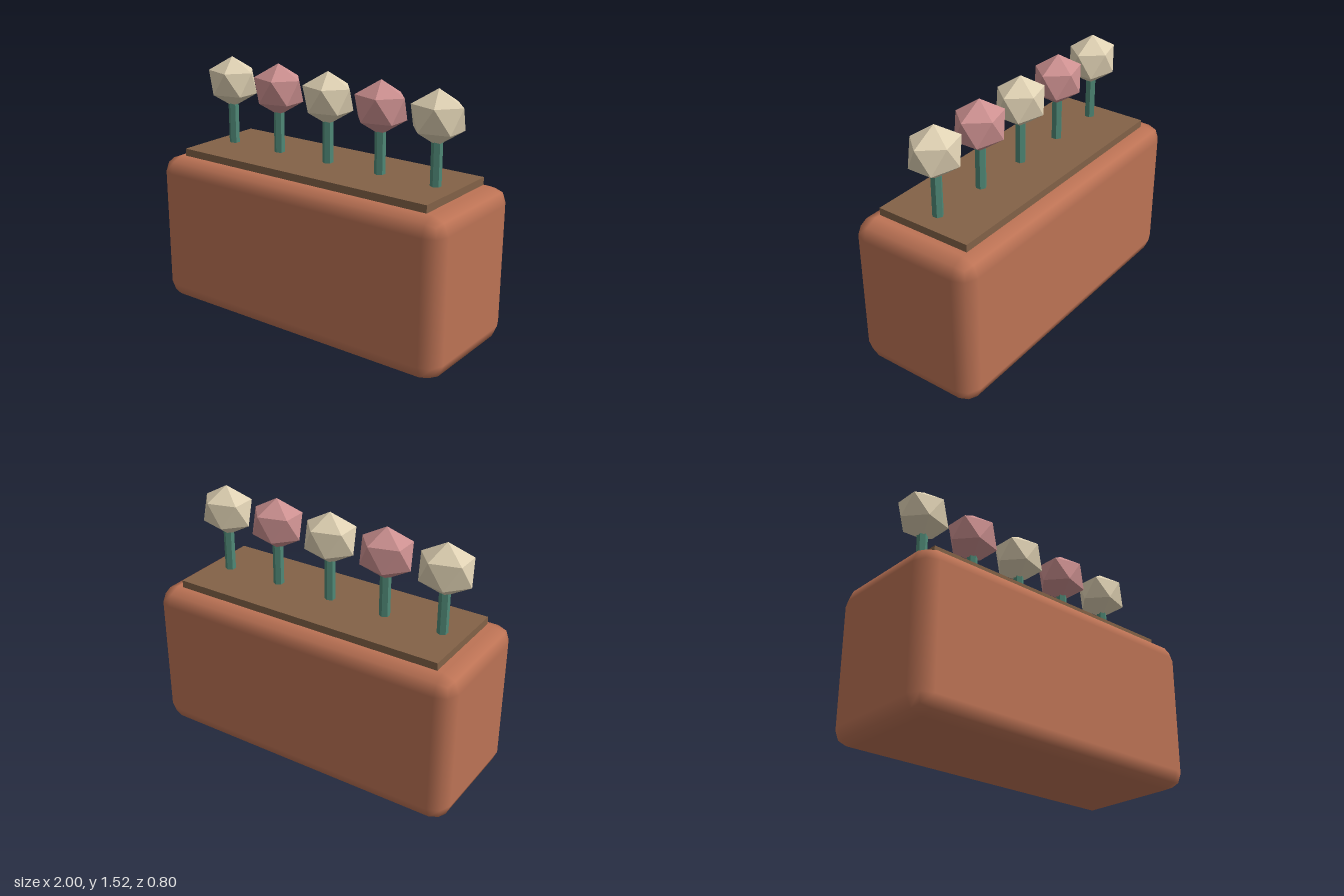
import * as THREE from 'three';
import { RoundedBoxGeometry } from 'three/addons/geometries/RoundedBoxGeometry.js';

const material = (name, color, flatShading = false) => {
  const m = new THREE.MeshStandardMaterial({ color, flatShading });
  m.name = name;
  return m;
};

export function createModel() {
  const terracotta = material('terracotta', 0xbd7355);
  const soilBrown = material('soil brown', 0x836247);
  const stemGreen = material('stem green', 0x4f8876, true);
  const cream = material('cream', 0xdfd1b3, true);
  const pink = material('pink', 0xcc9090, true);

  const model = new THREE.Group();
  model.name = 'flowerPlanter';
  const add = (parent, name, geometry, mat, x, y) => {
    const mesh = new THREE.Mesh(geometry, mat);
    mesh.name = name;
    mesh.position.set(x, y, 0);
    parent.add(mesh);
  };

  // Planter with bevelled edges, and the slab of soil on top
  add(model, 'planter', new RoundedBoxGeometry(2, 0.935, 0.8, 1, 0.1), terracotta, 0, 0.4675);
  add(model, 'soil', new THREE.BoxGeometry(1.73, 0.08, 0.6), soilBrown, 0, 0.94);

  // Faceted bloom: one corner turned straight up, slightly wider than deep
  const bloom = new THREE.IcosahedronGeometry(1, 0);
  bloom.rotateZ(-Math.atan2(1, (1 + Math.sqrt(5)) / 2));
  bloom.scale(0.173, 0.157, 0.147);
  const stem = new THREE.CylinderGeometry(0.032, 0.032, 0.35, 6);

  // Row of five flowers in alternating colours
  for (let i = 0; i < 5; i++) {
    const flower = new THREE.Group();
    flower.name = `flower${i + 1}`;
    flower.position.x = (i - 2) * 0.367;
    add(flower, 'stem', stem, stemGreen, 0, 1.125);
    add(flower, 'bloom', bloom, i % 2 ? pink : cream, 0, 1.363);
    model.add(flower);
  }
  return model;
}
